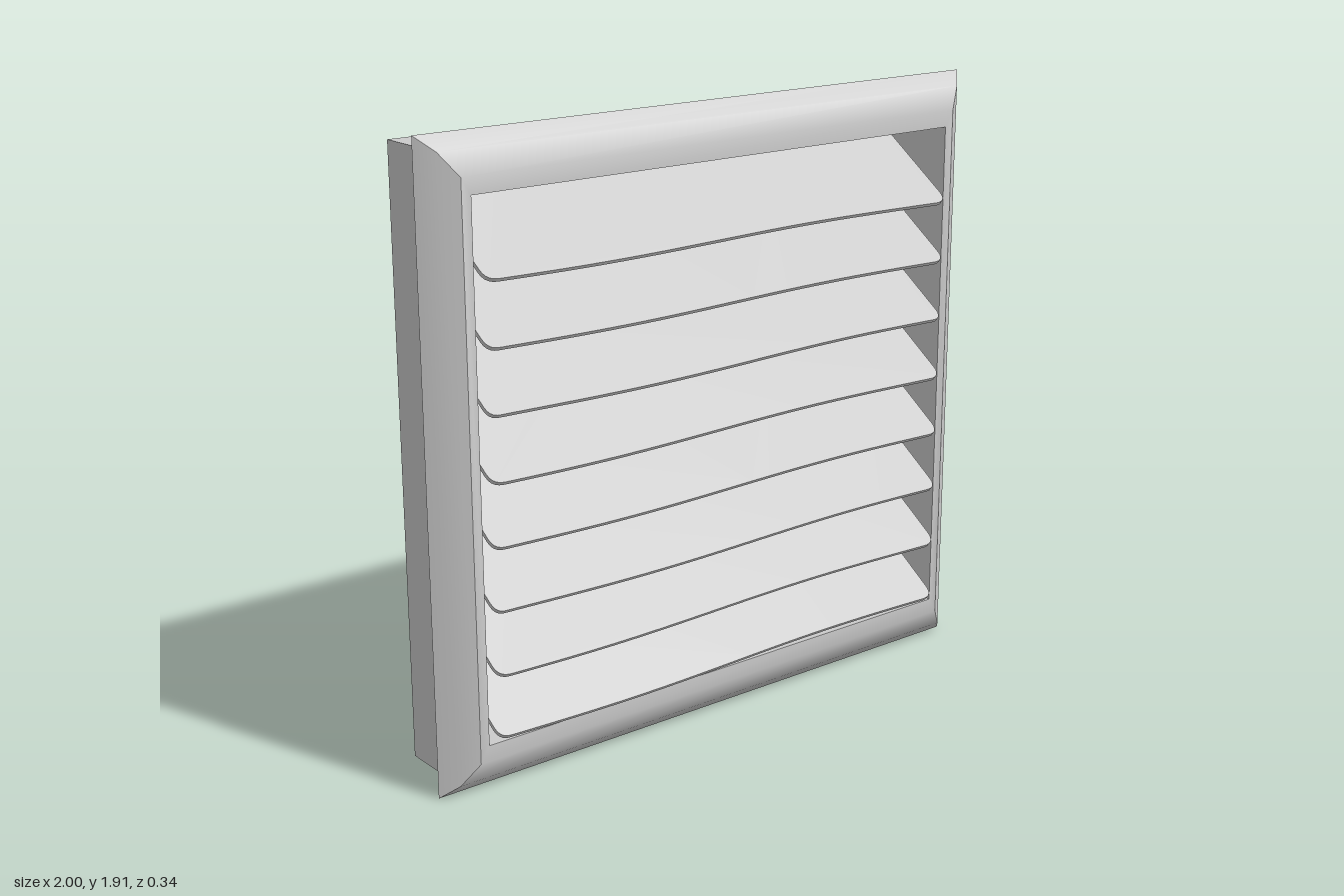
import * as THREE from 'three';
import { toCreasedNormals } from 'three/addons/utils/BufferGeometryUtils.js';

const material = new THREE.MeshStandardMaterial({ color: 0xcccccc, side: THREE.DoubleSide });
const HEIGHT = 1.91;

// Mitred rectangular frame swept from a profile of [side inset, top/bottom inset, z]
function frameGeometry(profile) {
  const rings = profile.map(([ix, iy, z]) => {
    const x = 1 - ix;
    return [[-x, iy, z], [x, iy, z], [x, HEIGHT - iy, z], [-x, HEIGHT - iy, z]];
  });
  const positions = [];
  rings.forEach((inner, k) => {
    const outer = rings[(k + 1) % rings.length];
    for (let c = 0; c < 4; c++) {
      const d = (c + 1) % 4;
      positions.push(...outer[c], ...outer[d], ...inner[d], ...outer[c], ...inner[d], ...inner[c]);
    }
  });
  const geometry = new THREE.BufferGeometry();
  geometry.setAttribute('position', new THREE.Float32BufferAttribute(positions, 3));
  return toCreasedNormals(geometry, 0.6);
}

// Thin slat with rounded corners and gently wavy long edges, lying in the xy plane
function slatGeometry(length, thickness, phase) {
  const left = -0.862, right = 0.852, r = 0.04, steps = 24;
  const wave = (x) => 0.007 * Math.sin(4 * x + phase);
  const xAt = (i) => left + r + ((right - left - 2 * r) * i) / steps;
  const shape = new THREE.Shape();
  shape.moveTo(xAt(0), wave(xAt(0)));
  for (let i = 1; i <= steps; i++) shape.lineTo(xAt(i), wave(xAt(i)));
  shape.quadraticCurveTo(right, 0, right, r);
  shape.lineTo(right, length - r);
  shape.quadraticCurveTo(right, length, xAt(steps), length + wave(xAt(steps)));
  for (let i = steps - 1; i >= 0; i--) shape.lineTo(xAt(i), length + wave(xAt(i)));
  shape.quadraticCurveTo(left, length, left, length - r);
  shape.lineTo(left, r);
  shape.quadraticCurveTo(left, 0, xAt(0), wave(xAt(0)));
  const geometry = new THREE.ExtrudeGeometry(shape, { depth: thickness, bevelEnabled: false, curveSegments: 5 });
  return toCreasedNormals(geometry, 0.6);
}

export function createModel() {
  const model = new THREE.Group();
  model.name = 'louvreVent';

  // Frame: bevelled front, pointed flange, groove and rear box
  const frame = new THREE.Mesh(frameGeometry([
    [0.125, 0.16, 0.125],
    [0.095, 0.11, 0.125],
    [0.045, 0.042, 0.09],
    [0, 0, 0.043],
    [0.045, 0.042, 0],
    [0.045, 0.042, -0.16],
    [0.125, 0.16, -0.16],
  ]), material);
  frame.name = 'frame';
  model.add(frame);

  // Slats sloping down towards the front
  const rise = 0.22, run = 0.325;
  const slats = new THREE.Group();
  slats.name = 'slats';
  for (let i = 0; i < 8; i++) {
    const slat = new THREE.Mesh(slatGeometry(Math.hypot(rise, run), 0.012, 0.35 * Math.sin(i * 2.1)), material);
    slat.name = 'slat' + (i + 1);
    slat.rotation.x = -Math.atan2(run, rise);
    slat.position.set(0, 0.183 + 0.1905 * i, 0.158);
    slats.add(slat);
  }
  model.add(slats);
  return model;
}
